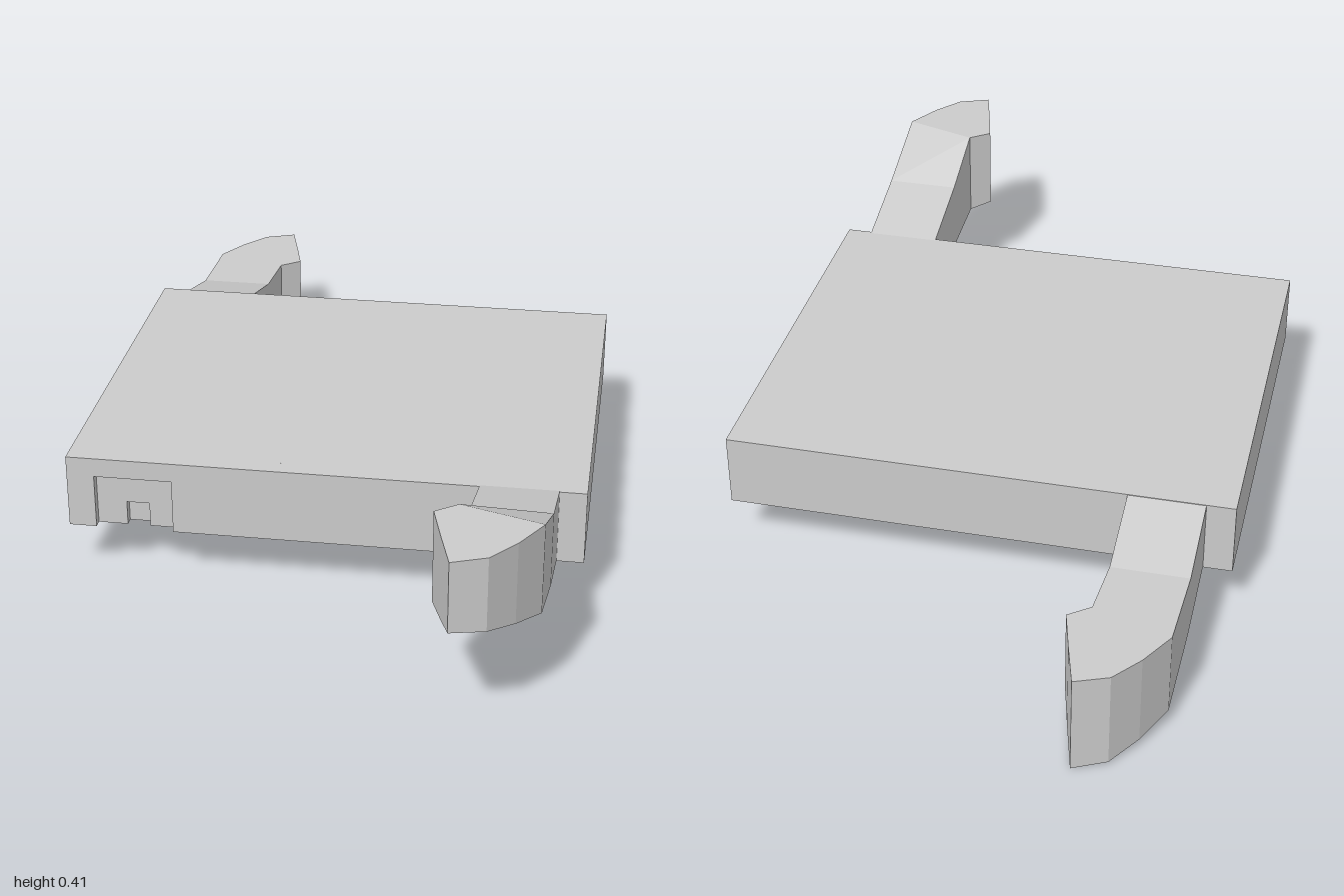
import * as THREE from 'three';

const X0 = -0.56, X1 = 0.555, Y0 = 0.115, Y1 = 0.28, ZB = -0.465, ZF = 0.465;

// Slab of the plate between two depths, with an optional notch open at its bottom edge
function slab(name, z0, z1, notch, material) {
  const pts = [[X0, Y0]];
  if (notch) {
    const [a, b, top] = notch;
    pts.push([a, Y0], [a, top], [b, top], [b, Y0]);
  }
  pts.push([X1, Y0], [X1, Y1], [X0, Y1]);
  const shape = new THREE.Shape(pts.map(p => new THREE.Vector2(...p)));
  const geo = new THREE.ExtrudeGeometry(shape, { depth: z1 - z0, bevelEnabled: false });
  geo.translate(0, 0, z0);
  const mesh = new THREE.Mesh(geo, material);
  mesh.name = name;
  return mesh;
}

// Plan of a hook arm: inner x, z and outer x, z at each station, ending in a point
const plan = [
  [0.33, 0.46, 0.497, 0.46],
  [0.328, 0.647, 0.495, 0.647],
  [0.318, 0.777, 0.488, 0.832],
  [0.272, 0.812, 0.443, 0.91],
  [0.296, 0.905, 0.393, 0.972],
  [0.322, 1.0, 0.322, 1.0],
];

// Hook arm lofted through rectangular sections; the underside slopes with z
function hook(name, tops, bottomAt, material) {
  const rings = plan.map(([xi, zi, xo, zo], i) => [
    [xi, bottomAt(zi), zi],
    [xo, bottomAt(zo), zo],
    [xo, tops[i], zo],
    [xi, tops[i], zi],
  ]);
  const pos = [];
  const quad = (a, b, c, d) => pos.push(...a, ...b, ...c, ...a, ...c, ...d);
  for (let i = 0; i < rings.length - 1; i++) {
    const r = rings[i], s = rings[i + 1];
    for (let k = 0; k < 4; k++) {
      const n = (k + 1) % 4;
      quad(r[k], r[n], s[n], s[k]);
    }
  }
  const [a, b, c, d] = rings[0];
  quad(d, c, b, a);
  const geo = new THREE.BufferGeometry();
  geo.setAttribute('position', new THREE.Float32BufferAttribute(pos, 3));
  geo.computeVertexNormals();
  const mesh = new THREE.Mesh(geo, material);
  mesh.name = name;
  return mesh;
}

export function createModel() {
  const group = new THREE.Group();
  group.name = 'hookedPlate';
  const material = new THREE.MeshStandardMaterial({ color: 0xcccccc, flatShading: true });

  // Plate with a stepped recess in its front face
  const plate = new THREE.Group();
  plate.name = 'plate';
  plate.add(
    slab('plateBody', ZB, 0.425, null, material),
    slab('innerRecessLayer', 0.425, 0.445, [-0.435, -0.385, 0.17], material),
    slab('outerRecessLayer', 0.445, ZF, [-0.5, -0.33, 0.237], material),
  );
  group.add(plate);

  // Front hook rises, rear hook drops
  group.add(hook('frontHook', [0.28, 0.33, 0.408, 0.408, 0.408, 0.408],
    z => 0.115 + (z - 0.465) * 0.262, material));
  const rear = hook('rearHook', [0.28, 0.23, 0.23, 0.23, 0.23, 0.23],
    z => 0.115 - (z - 0.465) * 0.21, material);
  rear.rotation.y = Math.PI;
  group.add(rear);

  // Small round studs under the plate
  const studs = new THREE.Group();
  studs.name = 'studs';
  const studGeo = new THREE.CylinderGeometry(0.018, 0.018, 0.006, 12);
  for (const x of [-0.23, 0.21]) {
    for (const z of [-0.25, -0.01, 0.23]) {
      const stud = new THREE.Mesh(studGeo, material);
      stud.name = 'stud';
      stud.position.set(x, Y0, z);
      studs.add(stud);
    }
  }
  group.add(studs);
  return group;
}
